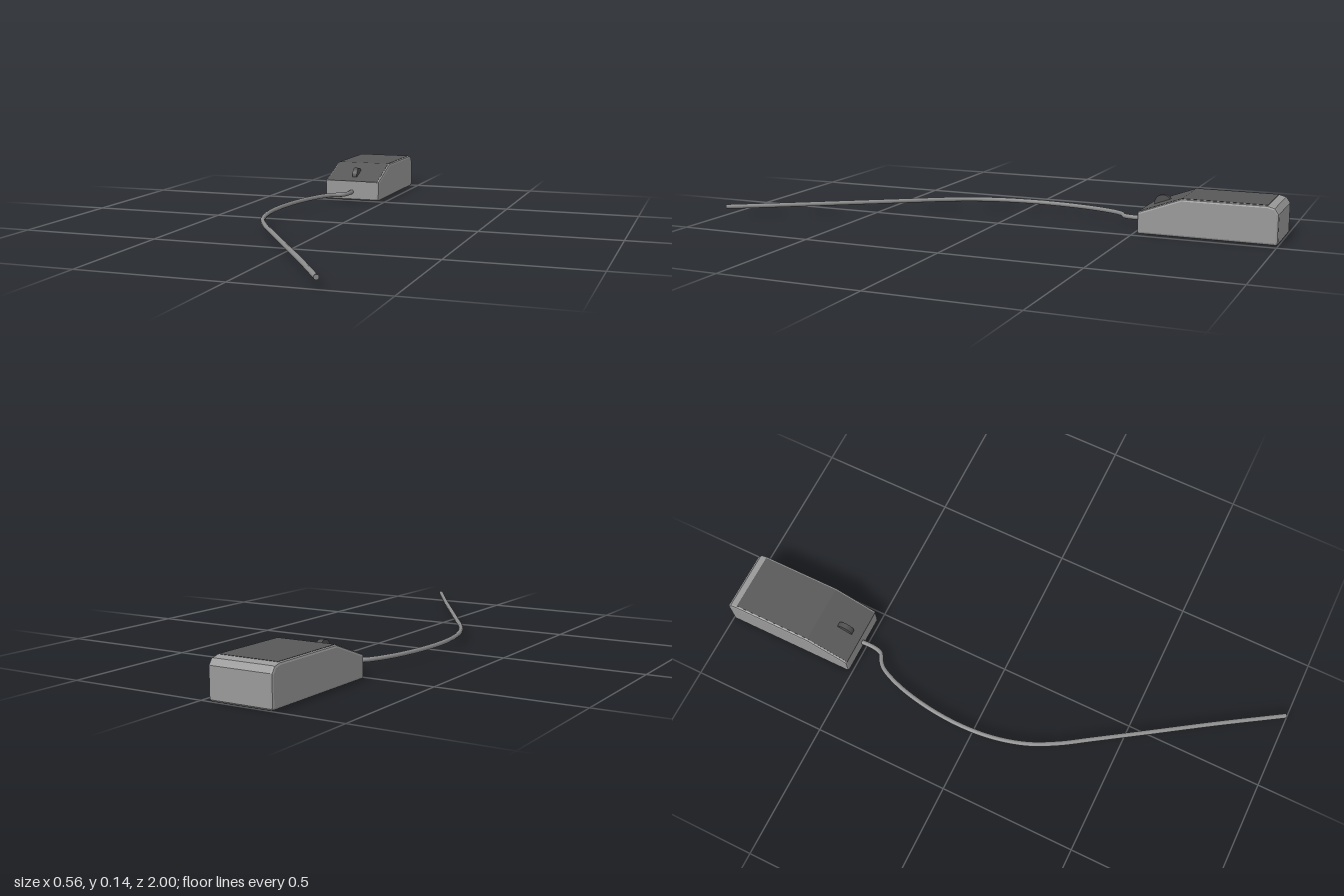
import * as THREE from 'three';

const mat = (name, color) => {
  const m = new THREE.MeshStandardMaterial({ color });
  m.name = name;
  return m;
};

const CENTER_X = -0.1425;
const WIDTH = 0.229;
const BEVEL = 0.008;

// Extrude a side profile, given as [z, y] points, across the width of the mouse
function extrudeProfile(points, width, bevel) {
  const shape = new THREE.Shape(points.map(([z, y]) => new THREE.Vector2(z, y)));
  const geo = new THREE.ExtrudeGeometry(shape, {
    depth: width - 2 * bevel,
    bevelEnabled: bevel > 0,
    bevelSize: bevel,
    bevelThickness: bevel,
    bevelOffset: -bevel,
    bevelSegments: 2,
  });
  geo.translate(0, 0, -(width - 2 * bevel) / 2);
  geo.rotateY(-Math.PI / 2);
  geo.translate(CENTER_X, 0, 0);
  return geo;
}

export function createModel() {
  const group = new THREE.Group();
  const shellGrey = mat('shell grey', 0x999999);
  const coverGrey = mat('cover dark grey', 0x585858);
  const wheelGrey = mat('wheel dark grey', 0x505050);
  const cableGrey = mat('cable grey', 0x8c8c8c);

  const add = (name, geo, material, parent = group) => {
    const mesh = new THREE.Mesh(geo, material);
    mesh.name = name;
    parent.add(mesh);
    return mesh;
  };

  // Shell with sloped nose and chamfered tail
  const top = [[-0.513, 0.077], [-0.668, 0.1345], [-0.96, 0.1345]];
  add('shell', extrudeProfile([
    [-0.993, 0], [-0.518, 0], [-0.513, 0.005],
    ...top,
    [-0.985, 0.128], [-0.999, 0.108], [-0.999, 0.006],
  ], WIDTH, BEVEL), shellGrey);

  // Thin dark cover over the slope and the flat top
  const upper = top.map(([z, y]) => [z, y + 0.001]);
  const lower = top.map(([z, y]) => [z, y - 0.003]).reverse();
  add('topCover', extrudeProfile([...upper, ...lower], WIDTH - 2 * BEVEL, 0), coverGrey);

  // Scroll wheel half sunk into the slope
  const wheel = new THREE.CylinderGeometry(0.031, 0.031, 0.019, 24);
  wheel.rotateZ(Math.PI / 2);
  wheel.translate(CENTER_X, 0.094, -0.576);
  add('scrollWheel', wheel, wheelGrey);

  // Cable lying level, curving out from the nose
  const path = [
    [-0.144, -0.53], [-0.144, -0.46], [-0.153, -0.431], [-0.178, -0.416],
    [-0.2, -0.395], [-0.234, -0.317], [-0.262, -0.19], [-0.2725, -0.05],
    [-0.262, 0.08], [-0.23, 0.2], [-0.18, 0.3], [-0.115, 0.4],
    [0, 0.575], [0.14, 0.787], [0.272, 0.994],
  ].map(([x, z]) => new THREE.Vector3(x, 0.0335, z));
  const curve = new THREE.CatmullRomCurve3(path, false, 'centripetal');
  const cable = new THREE.Group();
  cable.name = 'cable';
  group.add(cable);
  add('cord', new THREE.TubeGeometry(curve, 120, 0.0085, 10), cableGrey, cable);

  // Flat cap closing the free end
  const cap = add('cordEnd', new THREE.CircleGeometry(0.0085, 10), cableGrey, cable);
  cap.position.copy(curve.getPoint(1));
  cap.lookAt(curve.getPoint(1).add(curve.getTangent(1)));

  return group;
}
